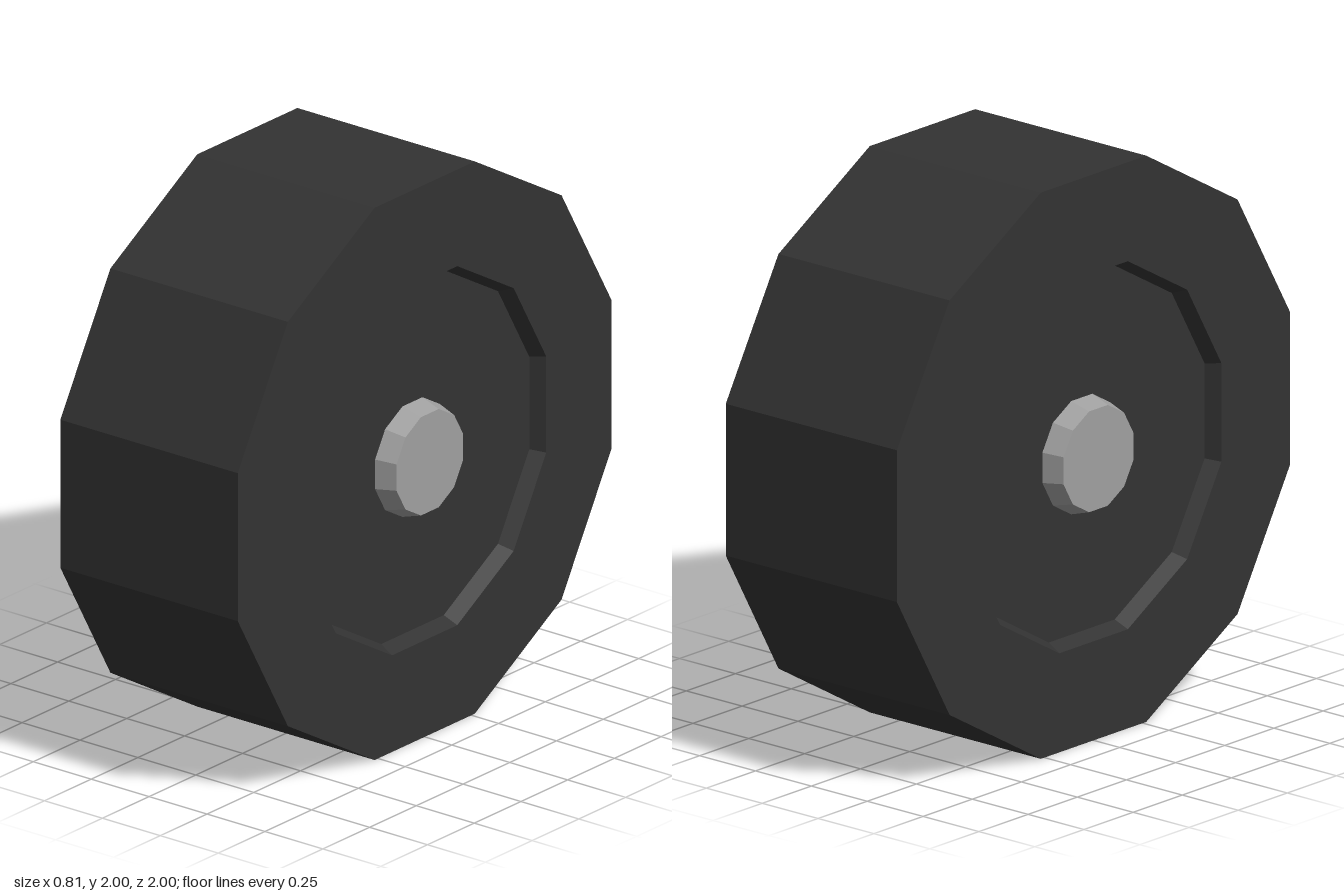
import * as THREE from 'three';

const SIDES = 12;
// Corner radius of a twelve-sided ring from its distance to the flats
const corner = (flat) => flat / Math.cos(Math.PI / SIDES);

// Faceted solid of revolution around the x axis; points are [flat radius, x]
function turned(name, points, material) {
  const profile = points.map(([r, x]) => new THREE.Vector2(corner(r), x));
  const geometry = new THREE.LatheGeometry(profile, SIDES, Math.PI / SIDES);
  geometry.rotateZ(-Math.PI / 2);
  const mesh = new THREE.Mesh(geometry, material);
  mesh.name = name;
  return mesh;
}

export function createModel() {
  const rubber = new THREE.MeshStandardMaterial({ color: 0x333333, flatShading: true });
  rubber.name = 'dark rubber';
  const metal = new THREE.MeshStandardMaterial({ color: 0xa0a0a0, flatShading: true });
  metal.name = 'grey metal';

  const wheel = new THREE.Group();
  wheel.name = 'wheel';

  // Tyre with a shallow recess on each side
  const half = 0.383, floor = 0.33;
  wheel.add(turned('tyre', [
    [0, -floor], [0.625, -floor], [0.65, -half], [1, -half],
    [1, half], [0.65, half], [0.625, floor], [0, floor],
  ], rubber));

  // Tapered hub caps
  const cap = [[0.2, floor], [0.178, 0.405], [0, 0.405]];
  const mirrored = cap.map(([r, x]) => [r, -x]).reverse();
  wheel.add(turned('leftHubCap', cap, metal), turned('rightHubCap', mirrored, metal));

  wheel.position.y = 1;
  const model = new THREE.Group();
  model.add(wheel);
  return model;
}
